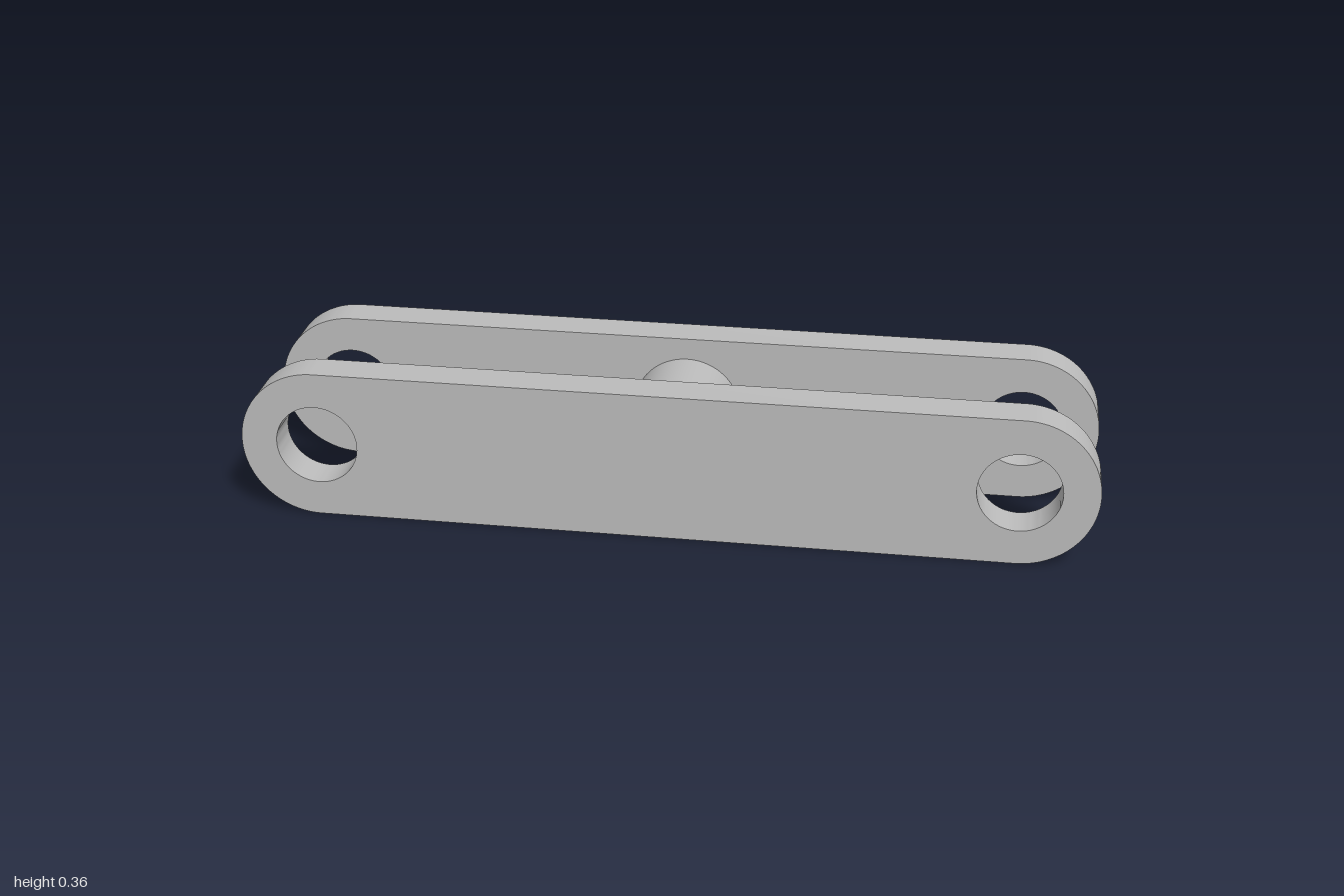
import * as THREE from 'three';
import { toCreasedNormals } from 'three/addons/utils/BufferGeometryUtils.js';

const R = 0.1815;          // end radius, half the plate height
const C = 1 - R;           // distance of hole centres from the middle
const HOLE = 0.097;
const INNER = 0.12, THICK = 0.09;

// Rounded bar with a round hole at each end
function plateGeometry() {
  const shape = new THREE.Shape();
  shape.absarc(C, 0, R, -Math.PI / 2, Math.PI / 2);
  shape.absarc(-C, 0, R, Math.PI / 2, Math.PI * 1.5);
  shape.closePath();
  for (const x of [-C, C]) {
    const hole = new THREE.Path();
    hole.absarc(x, 0, HOLE, 0, Math.PI * 2, true);
    shape.holes.push(hole);
  }
  const geo = new THREE.ExtrudeGeometry(shape, { depth: THICK, bevelEnabled: false, curveSegments: 40 });
  return toCreasedNormals(geo, 0.6);
}

export function createModel() {
  const group = new THREE.Group();
  const grey = new THREE.MeshStandardMaterial({ color: 0xbcbcbc });
  grey.name = 'grey metal';

  // Two parallel link plates
  const geo = plateGeometry();
  for (const [name, z] of [['frontPlate', INNER], ['backPlate', -INNER - THICK]]) {
    const plate = new THREE.Mesh(geo, grey);
    plate.name = name;
    plate.position.set(0, R, z);
    group.add(plate);
  }

  // Spacer pin between the plates, slightly off centre
  const pinGeo = new THREE.CylinderGeometry(0.128, 0.128, INNER * 2, 64, 1, true);
  pinGeo.rotateX(Math.PI / 2);
  const pin = new THREE.Mesh(pinGeo, grey);
  pin.name = 'spacerPin';
  pin.position.set(0.013, 0.1825, 0);
  group.add(pin);

  return group;
}
